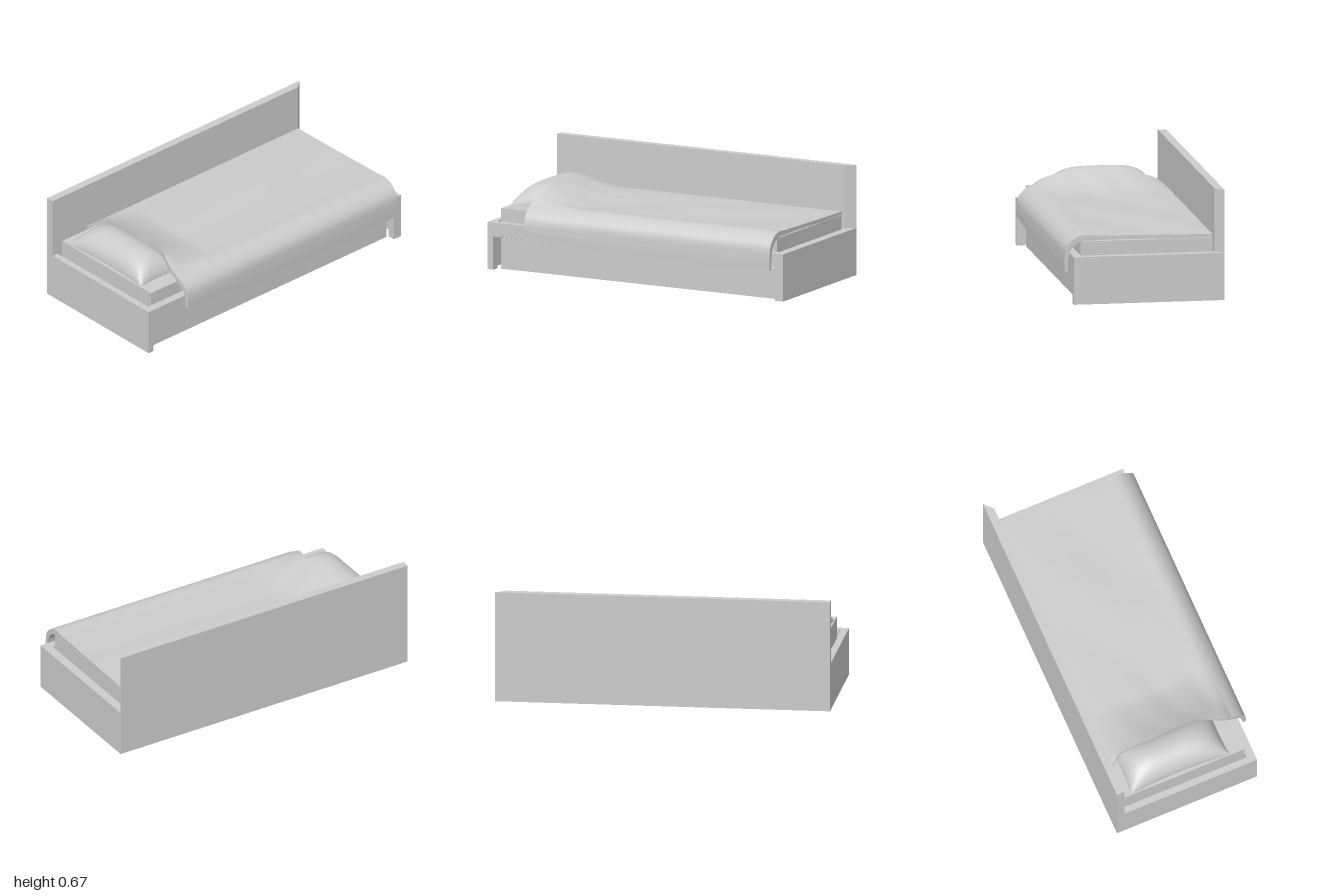
import * as THREE from 'three';
import { mergeGeometries } from 'three/addons/utils/BufferGeometryUtils.js';

const grey = new THREE.MeshStandardMaterial({ color: 0xcccccc });
const thin = new THREE.MeshStandardMaterial({ color: 0xcccccc, side: THREE.DoubleSide });
const step = THREE.MathUtils.smoothstep;

function add(parent, name, geometry, material = grey) {
  const mesh = new THREE.Mesh(geometry, material);
  mesh.name = name;
  parent.add(mesh);
}

// Box given by its limits on each axis
function box(x0, x1, y0, y1, z0, z1) {
  return new THREE.BoxGeometry(x1 - x0, y1 - y0, z1 - z0)
    .translate((x0 + x1) / 2, (y0 + y1) / 2, (z0 + z1) / 2);
}

// Upright prism over a plan of [x, z] corners
function prism(plan, y0, y1) {
  const shape = new THREE.Shape(plan.map(([x, z]) => new THREE.Vector2(x, -z)));
  return new THREE.ExtrudeGeometry(shape, { depth: y1 - y0, bevelEnabled: false })
    .rotateX(-Math.PI / 2).translate(0, y0, 0);
}

// Smooth grid surface from a function of u and v in 0..1
function surface(f, nu, nv, flip = false) {
  const position = [], index = [];
  for (let i = 0; i <= nu; i++)
    for (let j = 0; j <= nv; j++) position.push(...f(i / nu, j / nv));
  for (let i = 0; i < nu; i++)
    for (let j = 0; j < nv; j++) {
      const a = i * (nv + 1) + j, b = a + nv + 1;
      if (flip) index.push(a, b, a + 1, b, b + 1, a + 1);
      else index.push(a, a + 1, b, b, a + 1, b + 1);
    }
  const g = new THREE.BufferGeometry();
  g.setAttribute('position', new THREE.Float32BufferAttribute(position, 3));
  g.setIndex(index);
  g.computeVertexNormals();
  return g;
}

// Blanket cross-sections, from the back edge over the front side to the hem
const section = (list) => new THREE.CatmullRomCurve3(list.map(([z, y]) => new THREE.Vector3(0, y, z)));
const outer = section([[-0.415, 0.388], [-0.3, 0.392], [-0.1, 0.395], [0.1, 0.395], [0.28, 0.4],
  [0.375, 0.403], [0.43, 0.375], [0.465, 0.33], [0.475, 0.25], [0.475, 0.16]]);
const inner = section([[-0.415, 0.37], [-0.3, 0.371], [-0.1, 0.372], [0.1, 0.372], [0.28, 0.372],
  [0.365, 0.371], [0.41, 0.35], [0.438, 0.315], [0.453, 0.25], [0.455, 0.16]]);
const hemLine = new THREE.SplineCurve([[-0.73, 0.225], [-0.5, 0.212], [-0.35, 0.195], [-0.2, 0.162],
  [0, 0.182], [0.2, 0.172], [0.4, 0.182], [0.6, 0.155], [0.8, 0.175], [0.935, 0.19]]
  .map((p) => new THREE.Vector2(...p)));

function blanketPoint(u, v, curve) {
  const p = curve.getPoint(v);
  const z = p.z;
  let y = p.y;
  // wavy head edge
  const edge = -0.695 - 0.035 * step(z, 0.18, 0.34) - 0.045 * step(-z, 0.3, 0.41) + 0.006 * Math.sin(z * 14);
  const x = THREE.MathUtils.lerp(edge, 0.935, u);
  // swell over the pillow
  const t = THREE.MathUtils.clamp((x + 0.7) / 0.3, 0, 1);
  const w = Math.min(1, Math.abs((z + 0.02) / 0.4));
  y += 0.103 * (1 - t) ** 1.5 * (1 - w ** 3);
  // faint folds on top, fading at both long edges
  const fold = Math.sin(x * 7 + z * 9) + step(x, -0.7, -0.6) * (1 - step(x, -0.6, -0.1)) * Math.sin(z * 30 + x * 8);
  y += 0.0025 * (1 - w ** 4) * fold;
  // hanging side reaches down to the uneven hem
  if (z > 0.4 && y < 0.31) y = 0.31 - (0.31 - y) * (0.31 - hemLine.getPoint(u).y) / 0.15;
  return [x, y, z];
}

function blanketGeometry() {
  const across = (u, v, s) => blanketPoint(u, v, s < 0.5 ? outer : inner);
  return mergeGeometries([
    surface((u, v) => blanketPoint(u, v, outer), 100, 70),
    surface((u, v) => blanketPoint(u, v, inner), 100, 70, true),
    surface((u, s) => across(u, 1, s), 100, 1),
    surface((u, s) => across(u, 0, s), 100, 1, true),
    surface((v, s) => across(0, v, s), 70, 1, true),
    surface((v, s) => across(1, v, s), 70, 1),
  ]);
}

// Domed pillow with slightly drawn-in sides and pointed corners
function pillowPoint(a, b) {
  const u = -Math.cos(a * Math.PI), v = -Math.cos(b * Math.PI);
  const x = -0.778 + 0.152 * u * (1 - 0.1 * (1 - v * v));
  const z = -0.035 + 0.318 * v * (1 - 0.03 * (1 - u * u));
  const dome = Math.sqrt(Math.max(0, 1 - u * u)) * Math.max(0, 1 - v ** 4) ** 0.6;
  return [x, 0.367 + 0.133 * dome, z];
}

export function createModel() {
  const model = new THREE.Group();
  model.name = 'daybed';

  // Frame: tall back board and end rail meet in a mitre
  const frame = new THREE.Group();
  frame.name = 'frame';
  model.add(frame);
  add(frame, 'backBoard', prism([[-1, -0.475], [1, -0.475], [0.945, -0.425], [-1, -0.425]], 0.2, 0.665));
  add(frame, 'leftEndRail', prism([[1, -0.475], [1, 0.38], [0.945, 0.38], [0.945, -0.425]], 0.2, 0.285));
  add(frame, 'rightEndRail', box(-1, -0.96, 0.2, 0.285, -0.425, 0.38));

  // Thin skirts below the rails
  add(frame, 'backSkirt', box(-1, 1, 0, 0.2, -0.475, -0.471));
  add(frame, 'leftSkirt', box(0.996, 1, 0, 0.2, -0.471, 0.38));
  add(frame, 'rightSkirt', box(-1, -0.996, 0, 0.2, -0.471, 0.38));

  // Front rail with a wide opening between two legs
  const front = new THREE.Shape([[-1, 0], [-0.96, 0], [-0.96, 0.2], [0.945, 0.2], [0.945, 0],
    [1, 0], [1, 0.285], [-1, 0.285]].map((p) => new THREE.Vector2(...p)));
  add(frame, 'frontRail', new THREE.ExtrudeGeometry(front, { depth: 0.05, bevelEnabled: false })
    .translate(0, 0, 0.38));
  add(frame, 'drawerFront', box(-0.935, 0.93, 0, 0.185, 0.372, 0.38));

  // Ledge strips that carry the mattress
  const ledge = new THREE.Group();
  ledge.name = 'mattressLedge';
  frame.add(ledge);
  add(ledge, 'frontLedge', box(-0.96, 0.945, 0.2, 0.206, 0.33, 0.38));
  add(ledge, 'backLedge', box(-0.96, 0.945, 0.2, 0.206, -0.425, -0.37));
  add(ledge, 'leftLedge', box(0.895, 0.945, 0.2, 0.206, -0.37, 0.33));
  add(ledge, 'rightLedge', box(-0.96, -0.9, 0.2, 0.206, -0.37, 0.33));

  // Mattress: a shell, open below
  const corners = [[-0.935, -0.415], [-0.935, 0.378], [0.93, 0.378], [0.93, -0.415]];
  const sides = corners.map(([x0, z0], i) => {
    const [x1, z1] = corners[(i + 1) % 4];
    return surface((u, v) => [x0 + (x1 - x0) * u, 0.366 - 0.16 * v, z0 + (z1 - z0) * u], 1, 1);
  });
  const top = surface((u, v) => [-0.935 + 1.865 * u, 0.366, -0.415 + 0.793 * v], 1, 1);
  add(model, 'mattress', mergeGeometries([top, ...sides]), thin);

  add(model, 'pillow', surface(pillowPoint, 36, 48), thin);
  add(model, 'blanket', blanketGeometry(), thin);
  return model;
}
